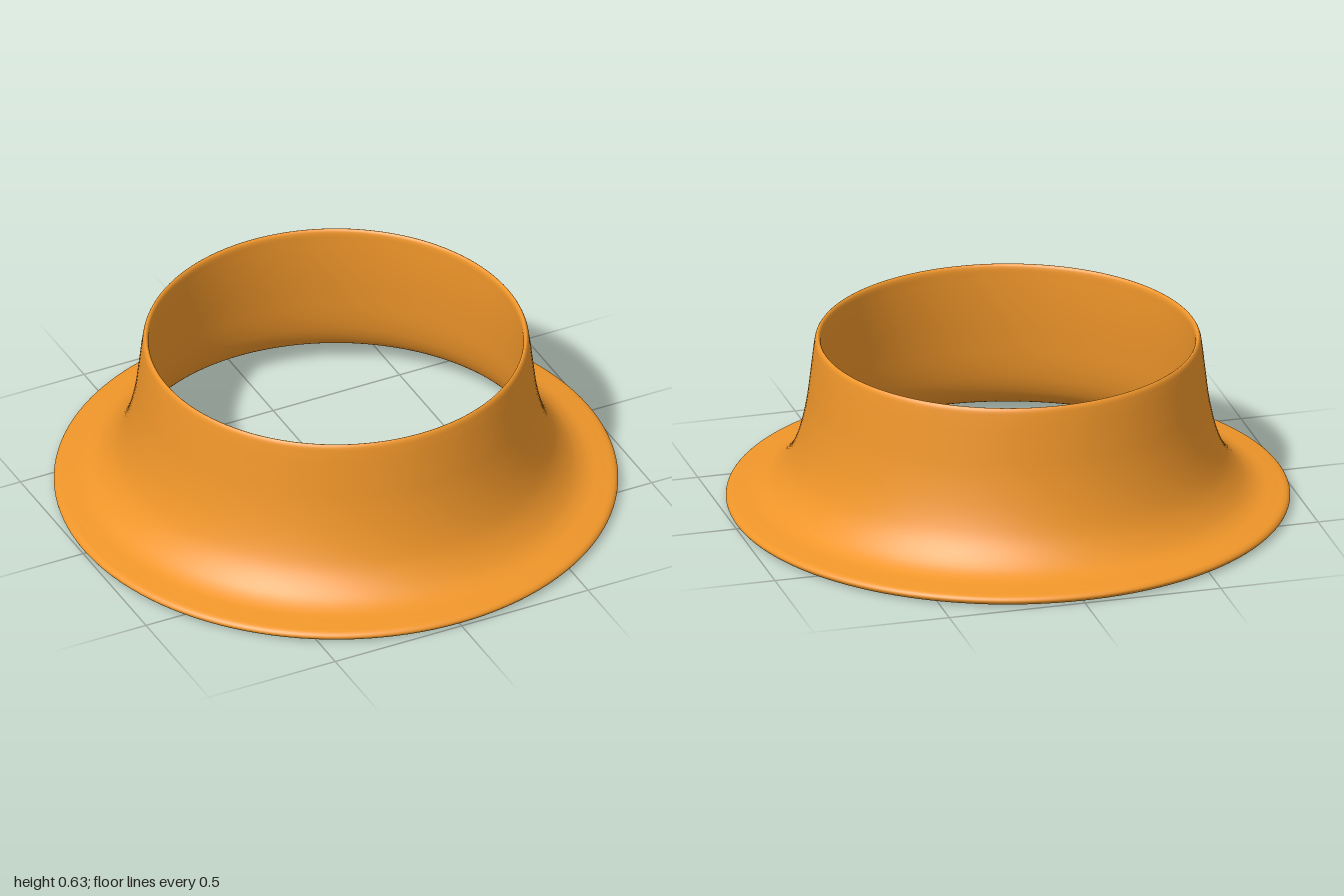
import * as THREE from 'three';

// Closed wall section (radius, height): rim, outer flare, lip, then back down the inside
const SECTION = [
  [0.92, 0.006], [0.965, 0.0], [0.99, 0.006], [1.0, 0.02], [0.99, 0.033], [0.95, 0.041],
  [0.89, 0.052], [0.84, 0.08], [0.785, 0.145], [0.748, 0.23], [0.717, 0.36], [0.7, 0.49],
  [0.688, 0.59], [0.682, 0.619], [0.674, 0.627], [0.666, 0.619],
  [0.664, 0.58], [0.667, 0.47], [0.677, 0.35], [0.694, 0.22], [0.717, 0.14],
  [0.75, 0.086], [0.8, 0.05], [0.86, 0.023],
];

export function createModel() {
  const group = new THREE.Group();
  group.name = 'flaredCollar';

  const curve = new THREE.CatmullRomCurve3(
    SECTION.map(([r, y]) => new THREE.Vector3(r, y, 0)), true, 'centripetal');
  const profile = curve.getPoints(SECTION.length * 5).map((p) => new THREE.Vector2(p.x, Math.max(p.y, 0)));

  // Thin tubular neck sweeping out into a wide flange
  const collar = new THREE.Mesh(
    new THREE.LatheGeometry(profile, 128),
    new THREE.MeshStandardMaterial({ color: 0xf0962a }));
  collar.name = 'collar';
  group.add(collar);

  return group;
}
